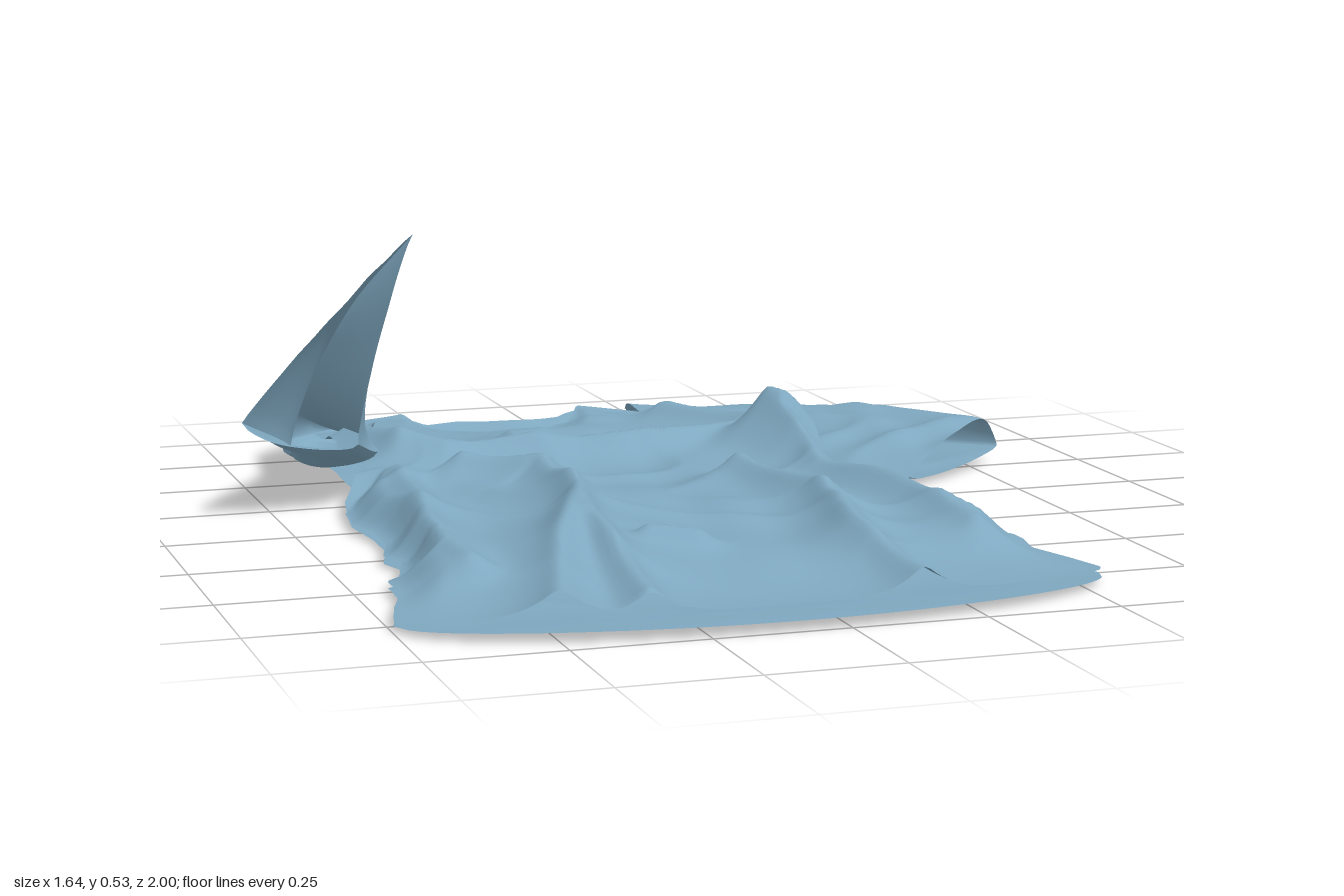
import * as THREE from 'three';

const material = new THREE.MeshStandardMaterial({ color: 0x7fa8c0, side: THREE.DoubleSide });
const { lerp, smoothstep } = THREE.MathUtils;

// piecewise-linear lookup in a table of [key, value]
function table(rows, k) {
  if (k <= rows[0][0]) return rows[0][1];
  for (let i = 1; i < rows.length; i++) {
    const [a, p] = rows[i - 1], [b, q] = rows[i];
    if (k <= b) return lerp(p, q, (k - a) / (b - a));
  }
  return rows[rows.length - 1][1];
}

// cloth sheet from a rule f(u, v) -> [x, y, z]
function sheet(name, nu, nv, f, flip = false) {
  const g = new THREE.PlaneGeometry(1, 1, nu, nv), p = g.attributes.position;
  for (let i = 0; i < p.count; i++) p.setXYZ(i, ...f(p.getX(i) + 0.5, 0.5 - p.getY(i)));
  if (flip) {
    const a = g.index.array;
    for (let i = 0; i < a.length; i += 3) [a[i], a[i + 1]] = [a[i + 1], a[i]];
  }
  g.computeVertexNormals();
  const mesh = new THREE.Mesh(g, material);
  mesh.name = name;
  return mesh;
}

// small irregular crumples with sharp crests
const crumple = (x, z) =>
  0.7 - 1.3 * Math.abs(Math.sin(9 * x + 2.2 * Math.sin(5 * z + 1) + 1.3 * Math.sin(11 * z - 4 * x))) +
  0.5 * Math.sin(13 * z + 3 * Math.sin(8 * x)) * Math.sin(17 * x - 6 * z);

// side seams: [z, x]
const rightSeam = [[-1, -0.5], [-0.85, -0.53], [-0.6, -0.55], [-0.3, -0.55], [-0.15, -0.62], [0, -0.64],
  [0.1, -0.62], [0.2, -0.62], [0.3, -0.65], [0.36, -0.63], [0.47, -0.66], [0.5, -0.69], [0.6, -0.69],
  [0.7, -0.725], [0.78, -0.745]];
const leftSeam = [[-1, 0.35], [-0.2, 0.38], [-0.05, 0.4], [0.1, 0.42], [0.25, 0.43], [0.38, 0.46], [0.48, 0.525],
  [0.53, 0.525], [0.6, 0.51], [0.7, 0.54], [0.78, 0.56]];

// shoulder and neck lines: [x, z]
const backTop = [[-0.5, -0.91], [-0.42, -0.95], [-0.3, -1], [-0.25, -0.955], [0.05, -0.95], [0.1, -0.98],
  [0.2, -0.94], [0.35, -0.84]];
const frontTop = [...backTop.slice(0, 3), [-0.27, -0.92], [-0.22, -0.845], [-0.15, -0.81], [-0.08, -0.8],
  [-0.01, -0.815], [0.05, -0.87], [0.08, -0.93], ...backTop.slice(5)];

// fold ridges: height, width, then [x, z] points
const folds = [
  [0.06, 0.045, [-0.44, -0.42], [-0.36, -0.35], [-0.2, -0.34], [0, -0.32], [0.2, -0.35], [0.36, -0.45]],
  [0.07, 0.05, [-0.38, -0.14], [-0.25, -0.04], [-0.26, 0.25], [-0.4, 0.6], [-0.48, 0.87]],
  [0.07, 0.035, [-0.24, 0.1], [-0.3, 0.45], [-0.32, 0.87]],
  [0.07, 0.04, [0.13, 0.05], [0.2, 0.3], [0.16, 0.6], [0.18, 0.9]],
  [0.055, 0.04, [0.34, -0.2], [0.3, 0.05], [0.38, 0.35], [0.4, 0.6]],
  [0.045, 0.04, [-0.5, -0.2], [-0.53, 0.1], [-0.58, 0.4], [-0.56, 0.6]],
  [0.045, 0.03, [-0.18, -0.52], [-0.19, -0.42]],
  [0.05, 0.03, [-0.2, 0.5], [-0.12, 0.53]],
  [0.135, 0.075, [0.31, -0.28], [0.36, -0.18]],
  [0.05, 0.03, [0.22, -0.72], [0.36, -0.5]],
  [0.06, 0.05, [-0.5, -0.6], [-0.45, -0.4]],
];

// overlapping folds blend towards the tallest one
function foldHeight(x, z) {
  let sum = 0;
  for (const [h, w, ...pts] of folds) {
    let d2 = Infinity;
    for (let i = 1; i < pts.length; i++) {
      const [ax, az] = pts[i - 1], dx = pts[i][0] - ax, dz = pts[i][1] - az;
      const t = Math.min(1, Math.max(0, ((x - ax) * dx + (z - az) * dz) / (dx * dx + dz * dz)));
      d2 = Math.min(d2, (x - ax - t * dx) ** 2 + (z - az - t * dz) ** 2);
    }
    sum += (h * Math.exp(-Math.sqrt(d2 + 0.0002) / w)) ** 3;
  }
  return 1.2 * Math.cbrt(sum);
}

// position in plan on a body panel
function plan(u, v, top, hemSide, hemDrop) {
  const round = Math.sqrt(Math.max(0, 1 - (2 * u - 1) ** 2));
  const z = lerp(table(top, lerp(-0.5, 0.35, u)), hemSide + hemDrop * round, v);
  return [lerp(table(rightSeam, z), table(leftSeam, z), u), z];
}

function frontPanel(u, v) {
  const [x, z] = plan(u, v, frontTop, 0.79, 0.1);
  // the sheet closes onto the back at the side seams and shoulders
  const side = smoothstep(Math.min(u, 1 - u), 0, 0.07);
  const close = Math.max(side, 1 - smoothstep(z, -0.25, -0.1));
  const shoulder = 0.3 + 0.7 * smoothstep(v, 0, 0.08);
  // between the folds the hem settles onto the back
  const settle = 1 - smoothstep(v, 0.8, 0.99);
  const body = (0.028 + 0.012 * Math.exp(-(((z - 0.15) / 0.5) ** 2))) * settle;
  const fold = foldHeight(x, z) * (0.8 + 0.2 * settle);
  const y = 0.026 + close * shoulder * (body + fold + 0.009 * crumple(x, z) * settle);
  return [x, y + 0.015 * (1 - smoothstep(z, -1, -0.88)), z];
}

function backPanel(u, v) {
  const [x, z] = plan(u, v, backTop, 0.78, 0.22);
  const lift = 0.025 * (1 - smoothstep(z, -1, -0.88));
  // gathered cloth under the waist
  const waist = smoothstep(z, -0.25, -0.05) * (1 - smoothstep(z, 0.3, 0.6)) * smoothstep(Math.min(u, 1 - u), 0, 0.12);
  const rough = 0.004 * (1 - smoothstep(z, 0.7, 0.85));
  const gather = waist * (0.012 + 0.011 * crumple(1.5 * x, 1.5 * z));
  return [x, 0.014 + lift + 0.011 * smoothstep(z, 0.75, 1) + rough * crumple(x, z) + gather, z];
}

const edge = (...pts) => new THREE.CatmullRomCurve3(pts.map((p) => new THREE.Vector3(...p)));

// sleeve panel spanning two edge curves and bulging between them
function sleevePanel(name, a, b, bulge, rough, flip) {
  const swell = new THREE.Vector3(...bulge);
  return sheet(name, 20, 40, (u, v) => {
    const p = a.getPoint(v).lerp(b.getPoint(v), u);
    const arch = Math.sqrt(Math.max(0, Math.sin(Math.PI * u)));
    const n = rough * crumple(p.x * 1.2 + p.y, p.z * 1.2) * arch;
    p.addScaledVector(swell, arch);
    return [p.x + n * 0.4, p.y + n, p.z];
  }, flip);
}

export function createModel() {
  const shirt = new THREE.Group();
  shirt.name = 'crumpledShirt';

  shirt.add(sheet('frontPanel', 120, 150, frontPanel), sheet('backPanel', 90, 110, backPanel, true));

  // left sleeve, lying nearly flat with its outer fold tipped up
  const leftSleeve = new THREE.Group();
  leftSleeve.name = 'leftSleeve';
  const rim = edge([0.2, 0.045, -0.935], [0.36, 0.05, -0.845], [0.49, 0.065, -0.73], [0.61, 0.085, -0.585],
    [0.69, 0.095, -0.45], [0.8, 0.095, -0.28]);
  const outer = edge([0.2, 0.03, -0.935], [0.36, 0.025, -0.85], [0.5, 0.025, -0.74], [0.62, 0.025, -0.6],
    [0.69, 0.03, -0.46], [0.82, 0.042, -0.27]);
  const under = edge([0.22, 0.03, -0.8], [0.3, 0.03, -0.55], [0.35, 0.03, -0.32], [0.4, 0.03, -0.19],
    [0.46, 0.03, -0.12], [0.54, 0.03, -0.06]);
  leftSleeve.add(
    sleevePanel('sleeveTop', rim, under, [0, 0.03, 0], 0.012),
    sleevePanel('sleeveOuterFold', rim, outer, [0.006, 0, -0.006], 0.002, true),
    sleevePanel('sleeveUnderside', outer, under, [0, -0.013, 0], 0.003, true));

  // right sleeve, standing up to a point with its cuff open to the front
  const rightSleeve = new THREE.Group();
  rightSleeve.name = 'rightSleeve';
  const crest = edge([-0.4, 0.045, -0.95], [-0.545, 0.085, -0.86], [-0.595, 0.17, -0.72], [-0.58, 0.285, -0.575],
    [-0.53, 0.39, -0.45], [-0.44, 0.54, -0.3]);
  const outside = edge([-0.4, 0.03, -0.95], [-0.56, 0.03, -0.87], [-0.62, 0.035, -0.74], [-0.645, 0.06, -0.55],
    [-0.69, 0.12, -0.36], [-0.82, 0.205, -0.15]);
  const inside = edge([-0.38, 0.05, -0.92], [-0.42, 0.055, -0.8], [-0.45, 0.06, -0.65], [-0.48, 0.08, -0.45],
    [-0.52, 0.1, -0.32], [-0.58, 0.14, -0.2]);
  rightSleeve.add(
    sleevePanel('outerWall', crest, outside, [-0.01, 0, -0.006], 0.006, true),
    sleevePanel('innerWall', crest, inside, [-0.015, -0.01, 0], 0.007),
    sleevePanel('lowerWall', outside, inside, [0, -0.027, 0], 0.008, true));

  shirt.add(leftSleeve, rightSleeve);
  return shirt;
}
